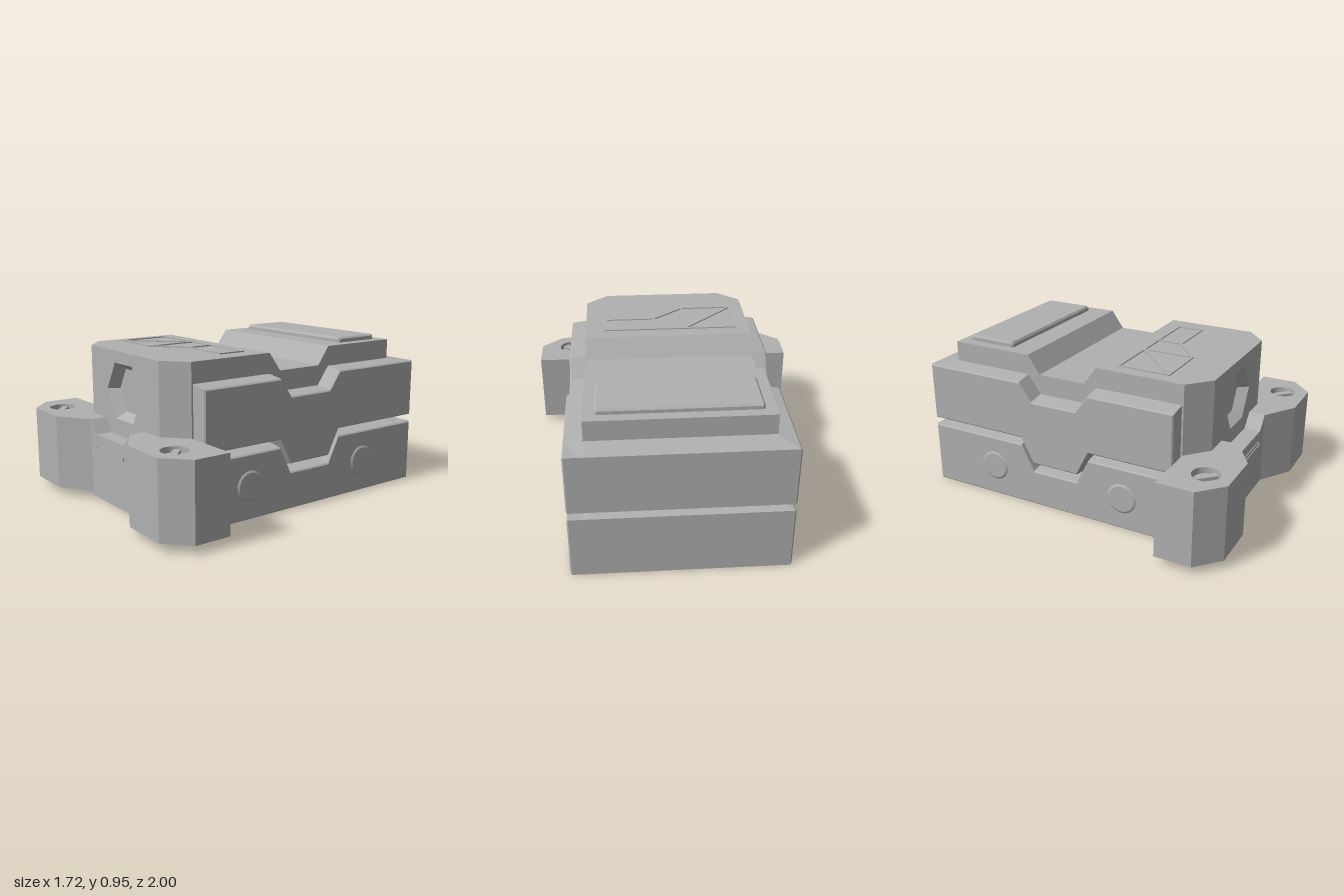
import * as THREE from 'three';

const grey = new THREE.MeshStandardMaterial({ color: 0xb0b0b0, side: THREE.DoubleSide });
grey.name = 'grey';

export function createModel() {
  const model = new THREE.Group();
  model.name = 'armouredPack';

  const add = (name, geometry, x = 0, y = 0, z = 0) => {
    const mesh = new THREE.Mesh(geometry, grey);
    mesh.name = name;
    mesh.position.set(x, y, z);
    model.add(mesh);
    return mesh;
  };

  // Solid from side profiles ([z, y] rings) placed at successive x stations
  const loft = (xs, rings) => {
    const pos = [];
    const put = (i, j) => pos.push(xs[i], rings[i][j][1], rings[i][j][0]);
    const n = rings[0].length;
    for (let i = 0; i < xs.length - 1; i++) {
      for (let j = 0; j < n; j++) {
        const k = (j + 1) % n;
        put(i, j); put(i, k); put(i + 1, k);
        put(i, j); put(i + 1, k); put(i + 1, j);
      }
    }
    const last = xs.length - 1;
    const caps = THREE.ShapeUtils.triangulateShape(rings[0].map(([z, y]) => new THREE.Vector2(-z, y)), []);
    for (const [a, b, c] of caps) {
      put(last, a); put(last, b); put(last, c);
      put(0, c); put(0, b); put(0, a);
    }
    const g = new THREE.BufferGeometry();
    g.setAttribute('position', new THREE.Float32BufferAttribute(pos, 3));
    g.computeVertexNormals();
    return g;
  };

  const shapeOf = (pts) => new THREE.Shape(pts.map(([x, y]) => new THREE.Vector2(x, y)));

  // Plan outline in [x, z], raised from y0 to y1, with optional round hole
  const plan = (pts, y0, y1, hole) => {
    const s = shapeOf(pts.map(([x, z]) => [x, -z]));
    if (hole) s.holes.push(new THREE.Path().absarc(hole[0], -hole[1], hole[2], 0, Math.PI * 2, true));
    return new THREE.ExtrudeGeometry(s, { depth: y1 - y0, bevelEnabled: false, curveSegments: 16 })
      .rotateX(-Math.PI / 2).translate(0, y0, 0);
  };

  // Front-to-back line with the stepped dip; d shifts it up, e insets its ends
  const track = (hi, lo, front, back, d, e) => [
    [front - e, hi + d], [0.11, hi + d], [0.03, lo + d], [-0.27, lo + d],
    [-0.35, hi + d], [back + 0.13, hi + d], [back + e, hi + (e ? d : 0)],
  ];

  // Upper and lower shells: bevelled rim, faces sloping gently in to the core
  const stations = [[-0.622, -0.008, 0.008], [-0.614, 0, 0], [-0.51, 0.015, 0],
    [0.51, 0.015, 0], [0.614, 0, 0], [0.622, -0.008, 0.008]];
  const xs = stations.map((s) => s[0]);
  add('upperShell', loft(xs, stations.map(([, d, e]) => [
    ...track(0.43, 0.275, 0.64, -1, -d, e),
    ...track(0.785, 0.675, 0.64, -1, d, e).reverse(),
  ])));
  add('lowerShell', loft(xs, stations.map(([, d, e]) => [
    [0.65 - e, e], [-1 + e, e],
    ...track(0.385, 0.225, 0.65, -1, d, e).reverse(),
  ])));
  add('lowerNose', plan([[-0.62, 0.65], [-0.46, 0.83], [0.46, 0.83], [0.62, 0.65]], 0, 0.38));

  // Inner core
  const coreRing = [[0.65, 0.1], [-0.87, 0.1], ...track(0.92, 0.81, 0.65, -0.87, 0, 0).reverse()];
  add('core', loft([-0.515, 0.515], [coreRing, coreRing]));

  // Core front with its hexagonal port
  const face = shapeOf([[-0.38, 0.3], [0.38, 0.3], [0.38, 0.92], [-0.38, 0.92]]);
  const hex = [];
  for (let i = 0; i < 6; i++) {
    const a = (i * Math.PI) / 3;
    hex.push(new THREE.Vector2(0.192 * Math.cos(a), 0.683 + 0.192 * Math.sin(a)));
  }
  face.holes.push(new THREE.Path(hex));
  add('coreFront', new THREE.ExtrudeGeometry(face, { depth: 0.12, bevelEnabled: false }), 0, 0, 0.65);
  const funnel = new THREE.CylinderGeometry(0.192, 0.147, 0.06, 6, 1, true, Math.PI / 6)
    .rotateX(Math.PI / 2).toNonIndexed();
  funnel.computeVertexNormals();
  add('portWall', funnel, 0, 0.683, 0.74);
  add('portFloor', new THREE.CircleGeometry(0.147, 6), 0, 0.683, 0.71);
  for (const s of [-1, 1]) {
    add('coreCorner', plan([[s * 0.38, 0.65], [s * 0.515, 0.65], [s * 0.38, 0.77]], 0.3, 0.92));
  }

  // Rear top pad with sloped rim
  const padRing = (i) => [[-0.5 - i, 0.91], [-0.81 + i, 0.91], [-0.81 + i, 0.94 - i], [-0.8 + i, 0.952 - i],
    [-0.51 - i, 0.952 - i], [-0.5 - i, 0.94 - i]];
  add('topPad', loft([-0.45, -0.44, 0.44, 0.45], [padRing(0.01), padRing(0), padRing(0), padRing(0.01)]));

  // Raised panel lines on the front top
  const lines = [
    [-0.43, 0.21, 0.39, 0.21], [-0.43, 0.21, -0.43, 0.52], [-0.43, 0.52, -0.11, 0.52],
    [-0.11, 0.21, -0.11, 0.52], [-0.11, 0.21, -0.43, 0.52], [-0.11, 0.52, 0.08, 0.365],
    [0.08, 0.21, 0.08, 0.365], [0.08, 0.365, 0.39, 0.365], [0.39, 0.21, 0.39, 0.365],
  ];
  for (const [x0, z0, x1, z1] of lines) {
    const strip = new THREE.BoxGeometry(Math.hypot(x1 - x0, z1 - z0) + 0.014, 0.01, 0.014);
    add('panelLine', strip, (x0 + x1) / 2, 0.922, (z0 + z1) / 2).rotation.y = -Math.atan2(z1 - z0, x1 - x0);
  }

  // Bumper: full-width body, then raised ears with sunken screws
  const half = [[0.86, 0.65], [0.86, 0.87], [0.72, 1], [0.43, 1], [0.23, 0.87]];
  const mirrored = half.map(([x, z]) => [-x, z]).reverse();
  add('bumperBody', plan([...half, ...mirrored], 0.05, 0.42));
  for (const s of [-1, 1]) {
    const cx = s * 0.652;
    add('bumperEar', plan([...half, [0.23, 0.65]].map(([x, z]) => [s * x, z]), 0.42, 0.5, [cx, 0.85, 0.08]));
    const slope = shapeOf([[s * 0.16, 0.42], [s * 0.23, 0.42], [s * 0.23, 0.5]]);
    add('bumperSlope', new THREE.ExtrudeGeometry(slope, { depth: 0.22, bevelEnabled: false }), 0, 0, 0.65);
    add('screwHead', new THREE.CylinderGeometry(0.068, 0.08, 0.05, 32), cx, 0.445, 0.85);
    add('screwBar', new THREE.BoxGeometry(0.125, 0.02, 0.04), cx, 0.48, 0.85).rotation.y = -Math.PI / 4;
  }

  // Rounded slot rim on the bumper front
  const pill = (Path, r) => new Path()
    .absarc(0.14, 0, r, -Math.PI / 2, Math.PI / 2, false)
    .absarc(-0.14, 0, r, Math.PI / 2, Math.PI * 1.5, false);
  const slot = pill(THREE.Shape, 0.017);
  slot.holes.push(pill(THREE.Path, 0.01));
  add('slotRim', new THREE.ExtrudeGeometry(slot, { depth: 0.006, bevelEnabled: false }), 0, 0.342, 0.869);

  // Round side studs
  for (const s of [-1, 1]) {
    for (const z of [0.33, -0.555]) {
      add('sideStud', new THREE.CylinderGeometry(0.08, 0.098, 0.01, 32).rotateZ(-s * Math.PI / 2), s * 0.624, 0.197, z);
    }
  }
  return model;
}
